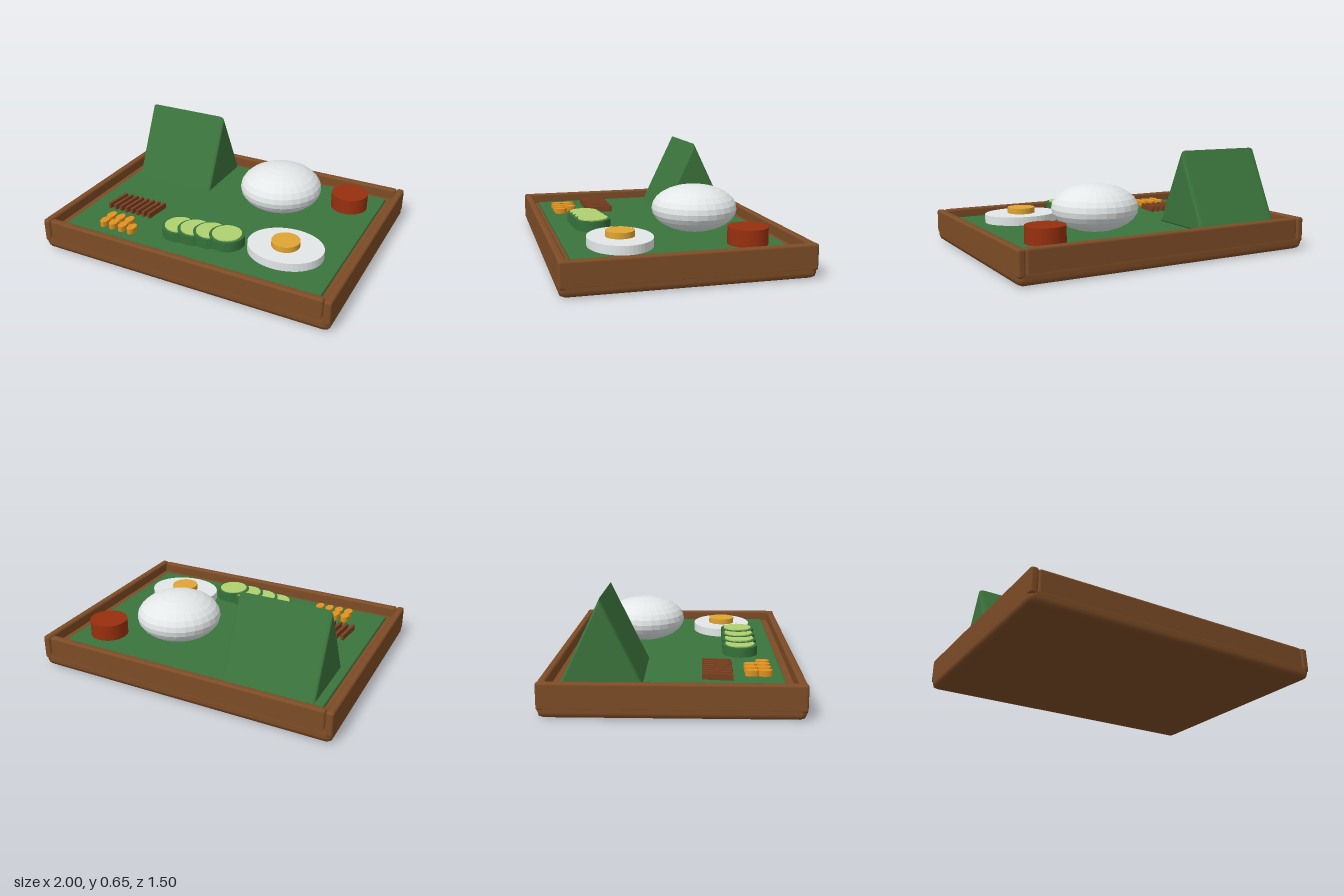
import * as THREE from 'three';
import { RoundedBoxGeometry } from 'three/addons/geometries/RoundedBoxGeometry.js';

const mat = (name, color, flatShading = false) => {
  const m = new THREE.MeshStandardMaterial({ color, flatShading });
  m.name = name;
  return m;
};

export function createModel() {
  const wood = mat('wood', 0x7d4c26);
  const grass = mat('grass green', 0x3b743c);
  const rind = mat('rind green', 0x35713a);
  const flesh = mat('pale green', 0xb0d070);
  const white = mat('white', 0xe6eaea, true);
  const yolkYellow = mat('yolk yellow', 0xe0a632);
  const orange = mat('orange', 0xe0921f);
  const red = mat('red', 0x98300f);
  const stickBrown = mat('stick brown', 0x7a4020);

  const model = new THREE.Group();
  model.name = 'mealTray';

  const add = (name, geometry, material, x, y, z) => {
    const mesh = new THREE.Mesh(geometry, material);
    mesh.name = name;
    mesh.position.set(x, y, z);
    model.add(mesh);
    return mesh;
  };
  // Upright disc between two heights, optionally oval
  const disc = (name, material, x, z, y0, y1, rx, rz = rx, sides = 40) => {
    const g = new THREE.CylinderGeometry(1, 1, y1 - y0, sides).scale(rx, 1, rz);
    return add(name, g, material, x, (y0 + y1) / 2, z);
  };

  // Tray: chamfered base, inner floor, four rails and the green liner
  add('trayBase', new RoundedBoxGeometry(2, 0.1, 1.5, 1, 0.04), wood, 0, 0.05, 0);
  add('trayFloor', new THREE.BoxGeometry(1.92, 0.09, 1.42), wood, 0, 0.095, 0);
  for (const s of [-1, 1]) {
    add(s > 0 ? 'frontRail' : 'backRail',
      new RoundedBoxGeometry(1.9, 0.16, 0.047, 2, 0.015), wood, 0, 0.13, s * 0.7225);
    add(s > 0 ? 'leftRail' : 'rightRail',
      new RoundedBoxGeometry(0.048, 0.16, 1.5, 2, 0.015), wood, s * 0.976, 0.13, 0);
  }
  add('liner', new RoundedBoxGeometry(1.8, 0.04, 1.3, 2, 0.01), grass, 0, 0.14, 0);

  // Triangular wedge with bevelled ends, running along x
  const bevel = 0.03;
  const tri = new THREE.Shape([
    new THREE.Vector2(-0.216, 0.17), new THREE.Vector2(0.216, 0.17), new THREE.Vector2(0, 0.622),
  ]);
  const wedge = new THREE.ExtrudeGeometry(tri, {
    depth: 0.59 - bevel * 2, bevelEnabled: true, bevelThickness: bevel, bevelSize: 0.02, bevelSegments: 3,
  });
  wedge.translate(0, 0, bevel - 0.295).rotateY(Math.PI / 2);
  add('wedge', wedge, grass, -0.555, 0, -0.405);

  // Rice mound
  add('riceMound', new THREE.SphereGeometry(1, 28, 14).scale(0.275, 0.15, 0.275), white, 0.27, 0.305, -0.23);

  // Round dish
  disc('redDish', red, 0.7, -0.43, 0.15, 0.265, 0.123);

  // Fried egg
  disc('eggWhite', white, 0.545, 0.32, 0.15, 0.215, 0.245, 0.2, 48);
  disc('eggYolk', yolkYellow, 0.545, 0.32, 0.2, 0.252, 0.09);

  // Overlapping cucumber slices, each a little higher than the last
  for (let i = 0; i < 4; i++) {
    const x = -0.155 + i * 0.115, top = 0.222 + i * 0.01;
    disc('cucumberRind', rind, x, 0.42, top - 0.065, top, 0.113);
    disc('cucumberFlesh', flesh, x, 0.42, top - 0.001, top + 0.007, 0.094);
  }

  // Slanted vegetable sticks
  for (let i = 0; i < 8; i++) {
    const stick = add('stick', new THREE.BoxGeometry(0.02, 0.045, 0.18), stickBrown,
      -0.745 + i * 0.0447, 0.175, 0.26);
    stick.rotation.y = -0.11 + 0.22;
    stick.rotation.y *= -1;
    stick.rotation.y = Math.abs(stick.rotation.y) * -1;
  }

  // Kernels in two short rows
  [[0.465, 3], [0.54, 4]].forEach(([z, count]) => {
    for (let i = 0; i < count; i++) {
      disc('kernel', orange, -0.655 + i * 0.07, z, 0.15, 0.195, 0.027, 0.043, 20);
    }
  });

  return model;
}
